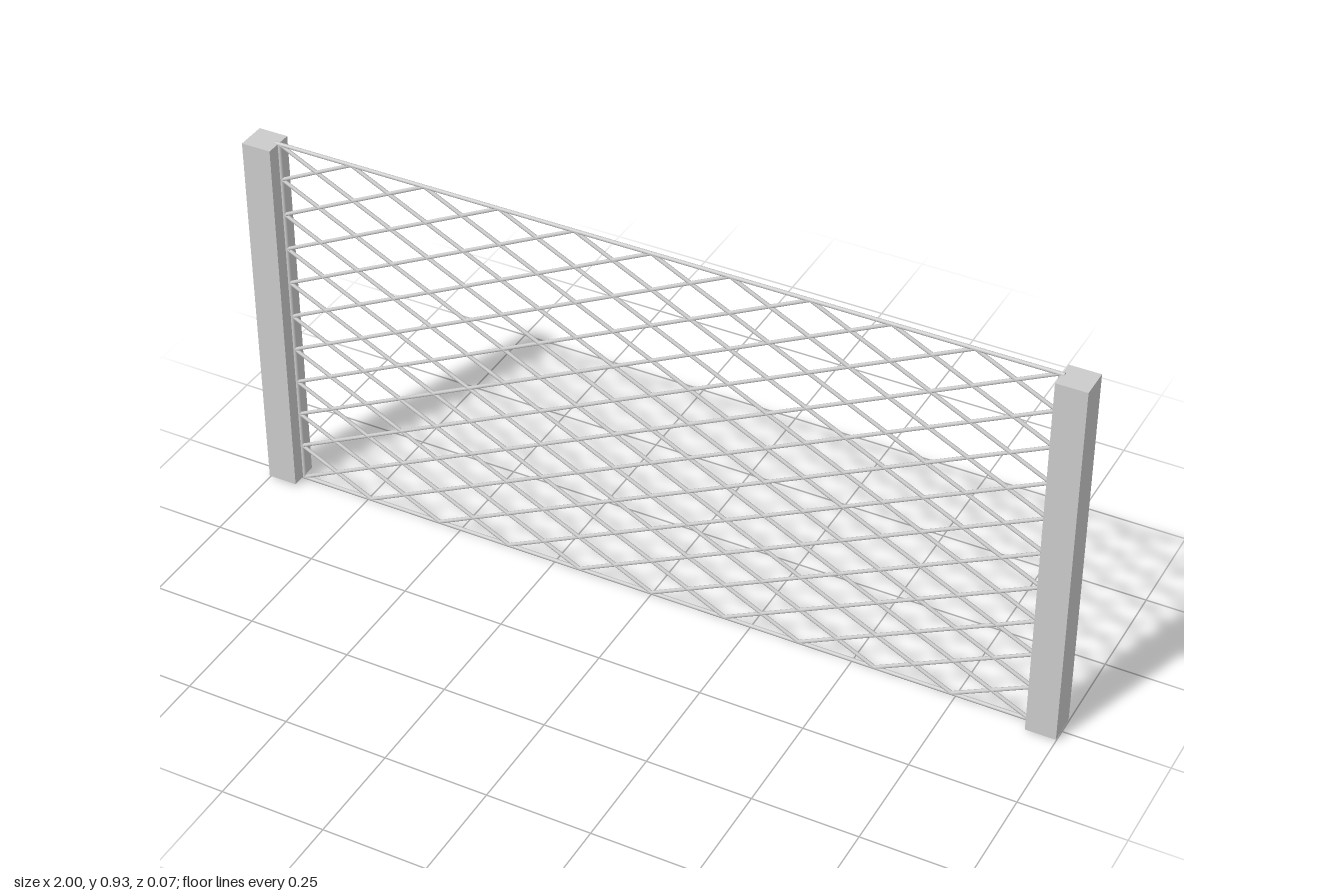
import * as THREE from 'three';

const R = 0.0045;            // wire radius
const N = 10;                // mesh cells each way
const HALF = 0.925;          // half width of the wire panel
const Y0 = 0.005, H = 0.925; // bottom and height of the panel
const UP = new THREE.Vector3(0, 1, 0);

export function createModel() {
  const group = new THREE.Group();
  const material = new THREE.MeshStandardMaterial({ color: 0xcccccc });

  // Straight round wire between two points of the panel, extended a little past its ends
  function wire(name, x1, y1, x2, y2, extra = 0) {
    const a = new THREE.Vector3(x1, y1, 0);
    const b = new THREE.Vector3(x2, y2, 0);
    const dir = b.clone().sub(a);
    const mesh = new THREE.Mesh(new THREE.CylinderGeometry(R, R, dir.length() + 2 * extra, 8), material);
    mesh.position.copy(a).add(b).multiplyScalar(0.5);
    mesh.quaternion.setFromUnitVectors(UP, dir.normalize());
    mesh.name = name;
    group.add(mesh);
  }

  // Square end posts with a vertical wire along each inner face
  for (const s of [-1, 1]) {
    const post = new THREE.Mesh(new THREE.BoxGeometry(0.072, H, 0.072), material);
    post.position.set(s * 0.964, Y0 + H / 2, 0);
    post.name = s > 0 ? 'leftPost' : 'rightPost';
    group.add(post);
    wire('edgeWire', s * HALF, Y0, s * HALF, Y0 + H);
  }

  // Top and bottom wires
  wire('bottomWire', -HALF, Y0, HALF, Y0, 0.01);
  wire('topWire', -HALF, Y0 + H, HALF, Y0 + H, 0.01);

  // Diagonal wires through the cell corners, clipped to the panel, in both directions
  const px = (i) => -HALF + (2 * HALF * i) / N;
  const py = (j) => Y0 + (H * j) / N;
  for (let k = 1 - N; k < N; k++) {
    const i1 = Math.max(0, k), i2 = Math.min(N, N + k);
    for (const s of [-1, 1]) {
      wire('diagonalWire', s * px(i1), py(i1 - k), s * px(i2), py(i2 - k));
    }
  }
  return group;
}
